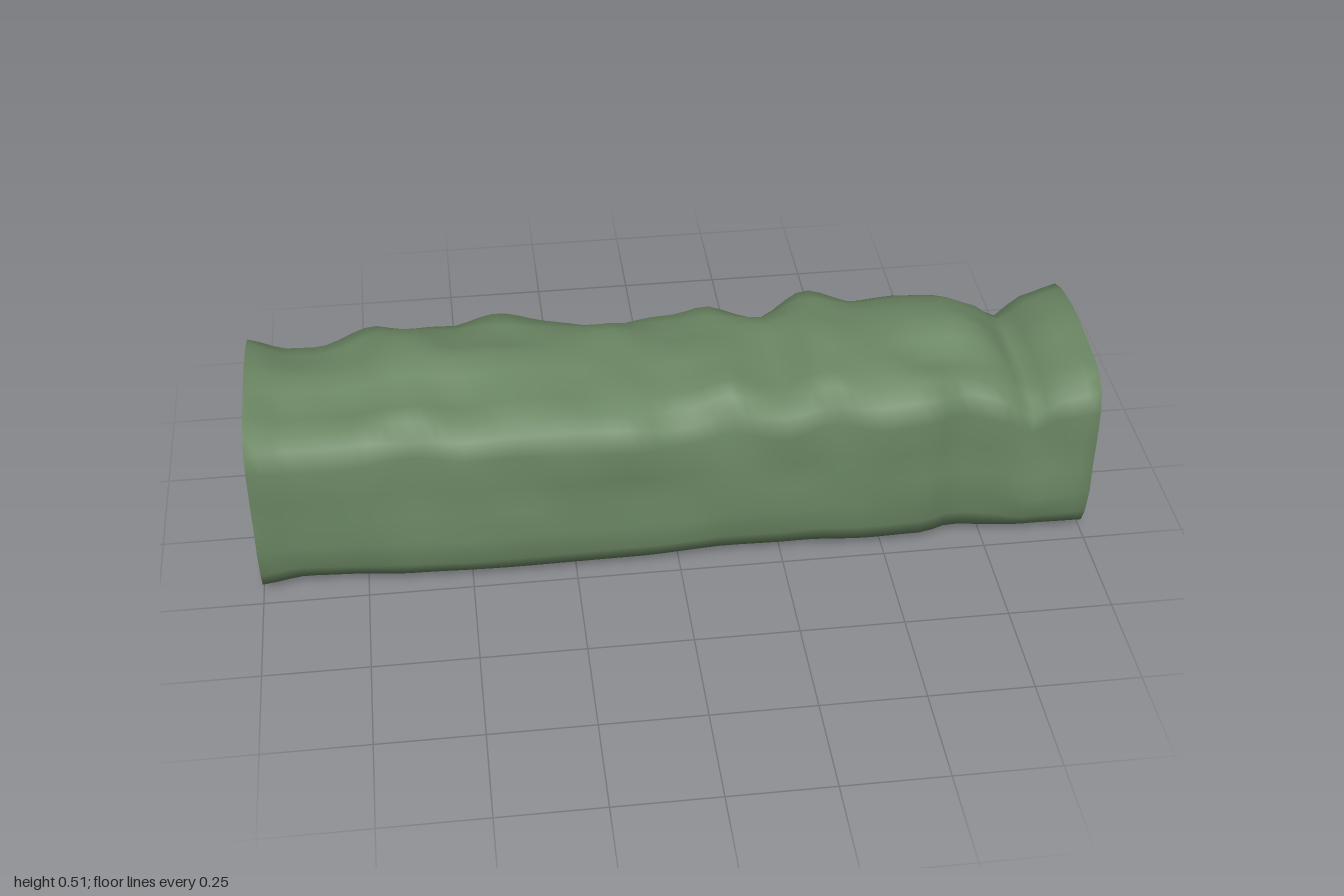
import * as THREE from 'three';

// Interpolation through [x, value] pairs, half eased
function sample(pairs, x) {
  for (let i = 1; i < pairs.length; i++) {
    const [x0, v0] = pairs[i - 1], [x1, v1] = pairs[i];
    if (x <= x1) return THREE.MathUtils.lerp(v0, v1, (THREE.MathUtils.smoothstep(x, x0, x1) + (x - x0) / (x1 - x0)) / 2);
  }
  return pairs[pairs.length - 1][1];
}

// Crest height and back/front depth along the length
const crest = [[-1, 0.49], [-0.9, 0.47], [-0.8, 0.475], [-0.68, 0.5], [-0.6, 0.502], [-0.5, 0.487], [-0.4, 0.495],
  [-0.3, 0.492], [-0.15, 0.482], [-0.04, 0.472], [0.03, 0.477], [0.12, 0.497], [0.25, 0.47], [0.36, 0.51],
  [0.47, 0.492], [0.6, 0.502], [0.7, 0.497], [0.77, 0.47], [0.84, 0.412], [0.91, 0.465], [1, 0.49]];
const back = [[-1, 0.245], [-0.9, 0.215], [-0.82, 0.205], [-0.68, 0.255], [-0.6, 0.24], [-0.45, 0.262], [-0.3, 0.24],
  [-0.18, 0.228], [-0.04, 0.262], [0.1, 0.25], [0.2, 0.222], [0.35, 0.258], [0.52, 0.257], [0.66, 0.242],
  [0.77, 0.205], [0.86, 0.212], [1, 0.245]];
const front = [[-1, 0.25], [-0.9, 0.225], [-0.8, 0.232], [-0.65, 0.252], [-0.4, 0.26], [-0.1, 0.255], [0.1, 0.24],
  [0.3, 0.242], [0.45, 0.255], [0.6, 0.252], [0.67, 0.225], [0.8, 0.24], [1, 0.25]];

// Cross-section as [z, y] fractions of depth and height, from front bottom round over the top
const section = [[0.86, 0.06], [0.94, 0.15], [0.99, 0.3], [0.98, 0.45], [0.99, 0.6], [0.99, 0.78], [0.94, 0.88],
  [0.8, 0.945], [0.6, 0.97], [0.4, 0.98], [0.2, 0.99], [0, 1], [-0.2, 0.995], [-0.4, 0.985], [-0.62, 0.965],
  [-0.82, 0.925], [-0.95, 0.85], [-1, 0.72], [-0.98, 0.55], [-0.97, 0.42], [-1, 0.28], [-0.94, 0.13],
  [-0.74, 0.01], [-0.3, 0.003], [0.3, 0]];

// Seeded smooth noise on a lattice, 0 to 1
function hash(i, j, k) {
  const s = Math.sin(i * 127.1 + j * 311.7 + k * 74.7) * 43758.5453;
  return s - Math.floor(s);
}
function noise(x, y, z) {
  const c = [x, y, z].map(Math.floor);
  const f = [x, y, z].map((v, i) => THREE.MathUtils.smoothstep(v - c[i], 0, 1));
  let sum = 0;
  for (let n = 0; n < 8; n++) {
    const o = [n & 1, (n >> 1) & 1, n >> 2];
    const w = o.reduce((p, b, i) => p * (b ? f[i] : 1 - f[i]), 1);
    sum += w * hash(c[0] + o[0], c[1] + o[1], c[2] + o[2]);
  }
  return sum;
}

function hedgeGeometry() {
  const steps = 64, count = section.length, positions = [], index = [];
  for (let s = 0; s <= steps; s++) {
    const x = -1 + 2 * s / steps;
    const height = sample(crest, x), zf = sample(front, x), zb = sample(back, x);
    const inner = THREE.MathUtils.smoothstep(1 - Math.abs(x), 0, 0.12);
    section.forEach(([u, v]) => {
      let z = u * (u > 0 ? zf : zb);
      let y = v * height;
      // Leafy lumps, calm at the rims and none along the flat base
      const dent = inner * (noise(x * 8 + 20, y * 10 + 5, z * 9 + 9) - 0.4);
      if (v > 0.08) z -= u * dent * 0.028;
      if (v > 0.85) y -= dent * 0.035;
      // Broken groove along the front of the top
      if (v > 0.9) y -= 0.03 * inner * Math.exp(-(((z - 0.1) / 0.045) ** 2)) * Math.max(0, noise(x * 7, 3, 1) - 0.3);
      positions.push(x, y, z);
    });
  }
  for (let s = 0; s < steps; s++) {
    for (let i = 0; i < count; i++) {
      const a = s * count + i, b = s * count + (i + 1) % count;
      index.push(a, a + count, b, b, a + count, b + count);
    }
  }
  // Flat ends fanned from a centre point
  const centres = [-1, 1].map((x) => {
    positions.push(x, 0.23, 0);
    return positions.length / 3 - 1;
  });
  const geometry = new THREE.BufferGeometry();
  geometry.setAttribute('position', new THREE.Float32BufferAttribute(positions, 3));
  // Rim normals lean out from the sides, so the ends shade softly into them
  geometry.setIndex(index);
  geometry.computeVertexNormals();
  const normals = geometry.attributes.normal;
  centres.forEach((centre, e) => {
    const outward = e ? 1 : -1;
    normals.setXYZ(centre, outward, 0, 0);
    for (let i = 0; i < count; i++) {
      const a = e * steps * count + i, b = e * steps * count + (i + 1) % count;
      index.push(centre, ...(e ? [b, a] : [a, b]));
      const n = new THREE.Vector3().fromBufferAttribute(normals, a);
      n.x += outward * 0.6;
      n.normalize();
      normals.setXYZ(a, n.x, n.y, n.z);
    }
  });
  geometry.setIndex(index);
  return geometry;
}

export function createModel() {
  const group = new THREE.Group();
  group.name = 'hedge';
  const leafGreen = new THREE.MeshStandardMaterial({ color: 0x6c8864 });
  leafGreen.name = 'leafGreen';
  const body = new THREE.Mesh(hedgeGeometry(), leafGreen);
  body.name = 'hedgeBody';
  group.add(body);
  return group;
}
